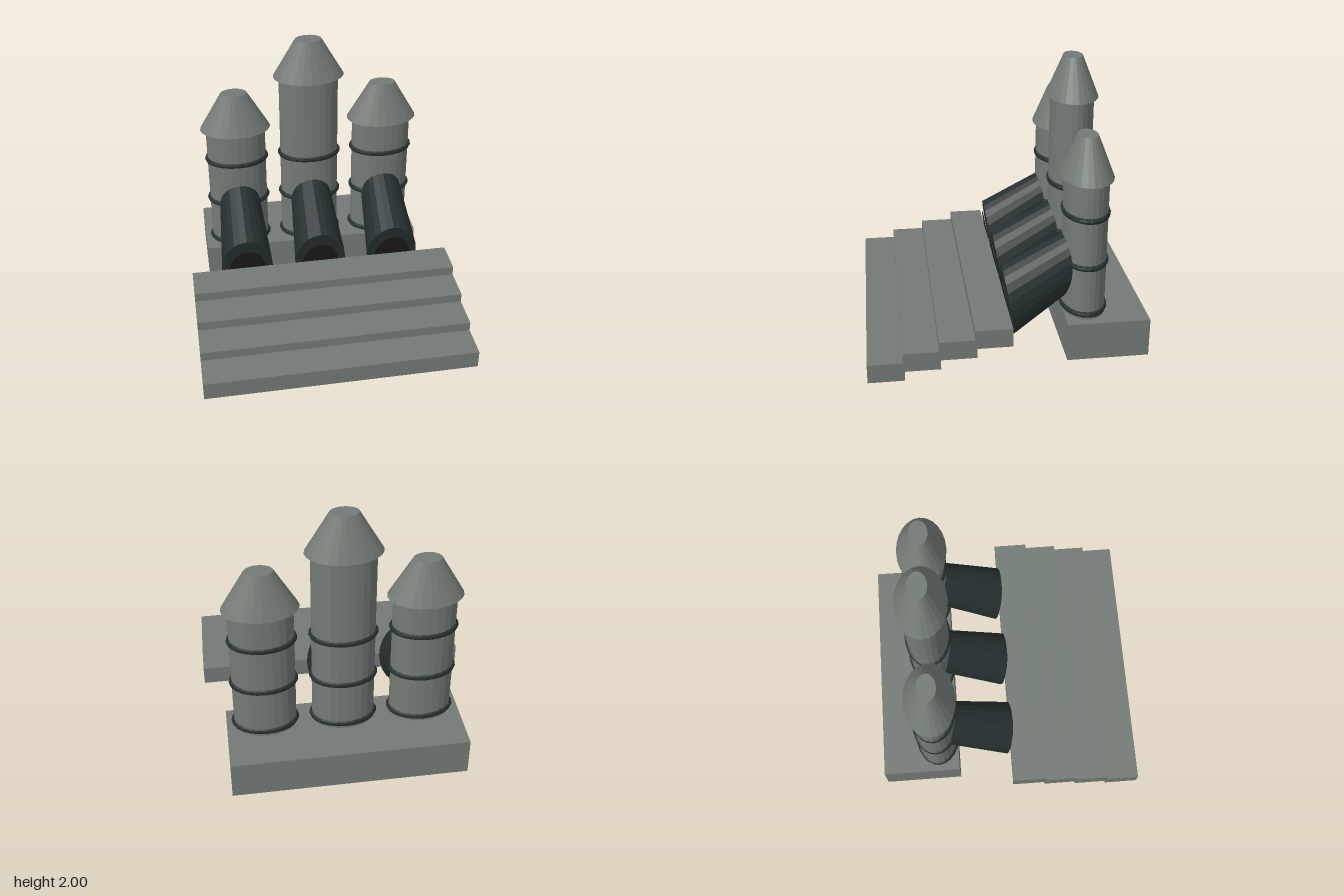
import * as THREE from 'three';

const stone = new THREE.MeshStandardMaterial({ color: 0x737b75 });
stone.name = 'grey stone';
const iron = new THREE.MeshStandardMaterial({ color: 0x263030 });
iron.name = 'dark iron';
const soot = new THREE.MeshStandardMaterial({ color: 0x1d1b1b });
soot.name = 'black soot';

const SIDES = 24;
const TOWER_Z = -0.565;
const DEPTH = 0.69; // towers are oval: depth relative to width

// Faceted normals
function facet(geometry) {
  const g = geometry.index ? geometry.toNonIndexed() : geometry;
  g.computeVertexNormals();
  return g;
}

function addMesh(parent, name, geometry, material) {
  const mesh = new THREE.Mesh(geometry, material);
  mesh.name = name;
  parent.add(mesh);
  return mesh;
}

function addBox(parent, name, width, y0, y1, z0, z1) {
  const box = addMesh(parent, name, new THREE.BoxGeometry(width, y1 - y0, z1 - z0), stone);
  box.position.set(0, (y0 + y1) / 2, (z0 + z1) / 2);
}

// Upright oval cylinder or frustum between two heights
function ovalColumn(rTop, rBottom, y0, y1) {
  const g = new THREE.CylinderGeometry(rTop, rBottom, y1 - y0, SIDES);
  g.scale(1, 1, DEPTH);
  g.translate(0, (y0 + y1) / 2, TOWER_Z);
  return facet(g);
}

// Sloping chute: a cylinder whose front and back ovals are placed separately
function chuteGeometry() {
  const g = new THREE.CylinderGeometry(1, 1, 1, SIDES);
  const p = g.attributes.position;
  const mix = THREE.MathUtils.lerp;
  for (let i = 0; i < p.count; i++) {
    const t = p.getY(i) + 0.5; // 0 inside the tower, 1 at the mouth
    const up = -p.getZ(i);
    p.setXYZ(
      i,
      p.getX(i) * mix(0.157, 0.198, t),
      mix(0.679, 0.365, t) + up * mix(0.23, 0.265, t),
      mix(-0.5, -0.0175, t) + up * mix(0, 0.0425, t)
    );
  }
  return facet(g);
}

function createTower(x, top) {
  const tower = new THREE.Group();
  tower.name = 'tower';
  tower.position.x = x;
  addMesh(tower, 'shaft', ovalColumn(0.228, 0.228, 0.28, top - 0.295), stone);
  addMesh(tower, 'cap', ovalColumn(0.1, 0.27, top - 0.295, top), stone);

  // Iron bands
  for (const y of [0.325, 0.685, 1.045]) {
    const g = new THREE.TorusGeometry(0.227, 0.021, 8, SIDES);
    g.rotateX(Math.PI / 2);
    g.scale(1, 1, DEPTH);
    g.translate(0, y, TOWER_Z);
    addMesh(tower, 'band', facet(g), iron);
  }

  addMesh(tower, 'chute', chuteGeometry(), iron);

  // Dark opening just ahead of the chute end
  const opening = new THREE.CylinderGeometry(1, 1, 0.004, SIDES);
  opening.rotateX(Math.PI / 2);
  opening.scale(0.14, 0.188, 1);
  const mouth = addMesh(tower, 'chuteMouth', facet(opening), soot);
  mouth.position.set(0, 0.355, -0.003);
  mouth.rotation.x = 0.16;
  return tower;
}

export function createModel() {
  const model = new THREE.Group();
  model.name = 'towersWithSteps';

  addBox(model, 'towerBase', 1.716, 0, 0.285, -1, -0.41);

  // Overlapping steps rising to the chutes
  for (let i = 0; i < 4; i++) {
    const y = 0.022 + i * 0.0705;
    const z = 0.745 - i * 0.248;
    addBox(model, 'step', 2, y, y + 0.138, z, z + (i ? 0.259 : 0.255));
  }

  model.add(createTower(-0.573, 1.6), createTower(0, 2), createTower(0.573, 1.6));
  return model;
}
